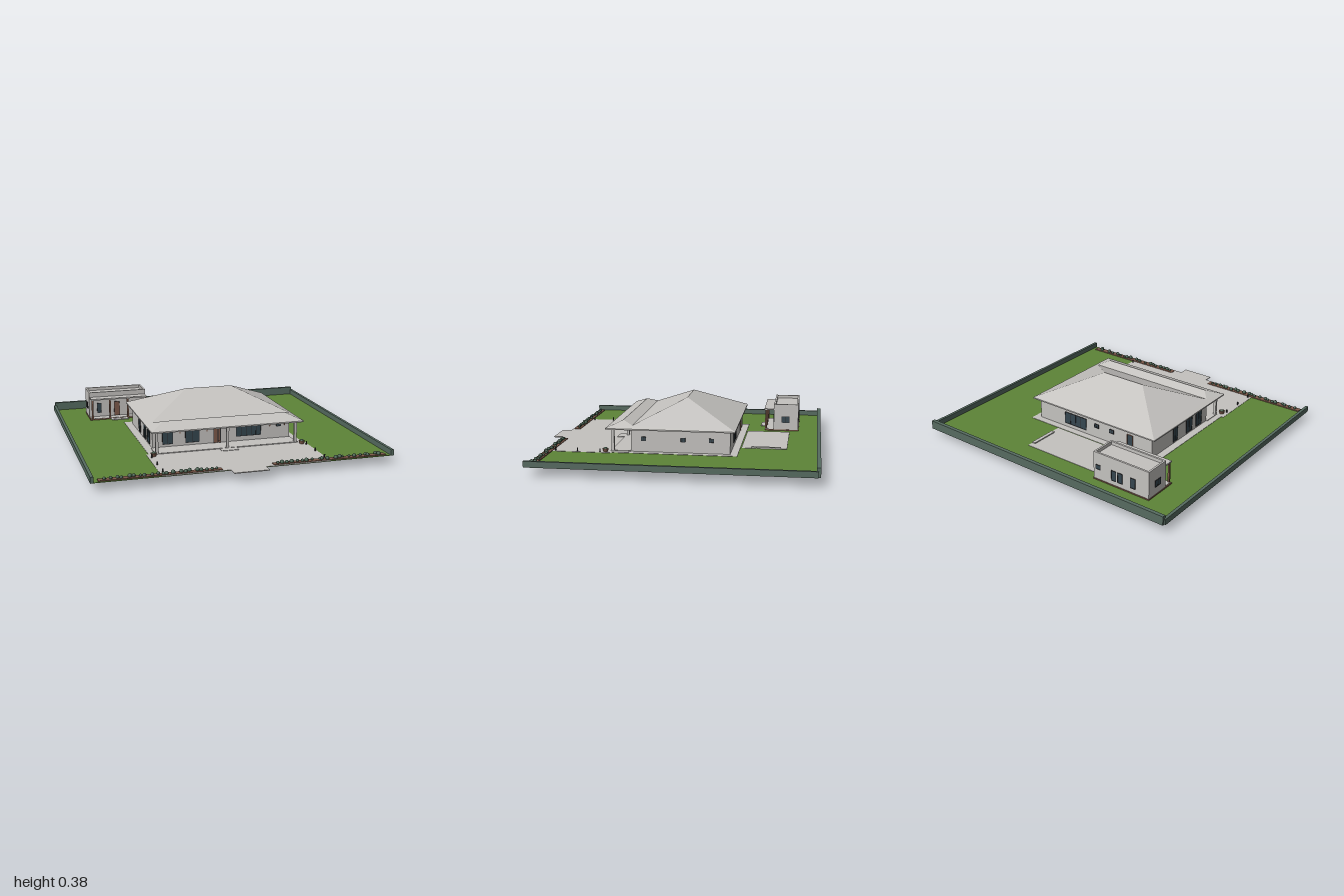
import * as THREE from 'three';

const mat = (name, color, extra = {}) => {
  const m = new THREE.MeshStandardMaterial({ color, ...extra });
  m.name = name;
  return m;
};

export function createModel() {
  const root = new THREE.Group();
  root.name = 'houseAndGarden';
  const plaster = mat('plaster', 0xc4c2bf);
  const grass = mat('grass', 0x5d8437);
  const hedge = mat('boundaryGreen', 0x566b60);
  const glass = mat('glass', 0x35464f);
  const brown = mat('woodBrown', 0x7d5a4a);
  const leaf = mat('leaf', 0x3f5a48);
  const dark = mat('darkMetal', 0x2c2c2e);

  const add = (name, geo, material, parent = root) => {
    const m = new THREE.Mesh(geo, material);
    m.name = name;
    parent.add(m);
    return m;
  };
  // Box given by its limits on each axis
  const box = (name, [x0, x1], [y0, y1], [z0, z1], material, parent) => {
    const m = add(name, new THREE.BoxGeometry(x1 - x0, y1 - y0, z1 - z0), material, parent);
    m.position.set((x0 + x1) / 2, (y0 + y1) / 2, (z0 + z1) / 2);
    return m;
  };
  const group = (name) => {
    const g = new THREE.Group();
    g.name = name;
    root.add(g);
    return g;
  };
  const G = 0.06; // ground level

  // Lawn, paving and boundary walls
  box('lawn', [-0.99, 0.99], [0.0575, G], [-0.94, 0.88], grass);
  box('housePaving', [-0.543, 0.537], [0.0565, 0.0625], [-0.415, 0.425], plaster);
  box('lawnUnderHouse', [-0.49, 0.49], [0.0555, 0.0575], [-0.35, 0.3], grass);
  box('driveway', [-0.56, 0.553], [0.0565, 0.062], [0.42, 0.88], plaster);
  box('drivewayEntry', [-0.12, 0.113], [0.0565, 0.062], [0.88, 0.945], plaster);
  for (const s of [-1, 1])
    box('sideWall', s < 0 ? [-1, -0.98] : [0.98, 1], [0.057, 0.097], [-0.94, 0.88], hedge);
  box('backWall', [-0.99, 0.99], [0.057, 0.118], [-0.955, -0.93], hedge);

  // Rear terrace with the sunken basin below it
  box('rearTerrace', [-0.285, 0.283], [0.0565, 0.0625], [-0.73, -0.422], plaster);
  box('basin', [-0.23, 0.225], [0, 0.0575], [-0.67, -0.475], plaster);
  box('terraceBench', [0.257, 0.282], [0.06, 0.07], [-0.69, -0.49], plaster);

  // Window or door: a glass plate with thin mullions, on a wall facing z or x
  const pane = (parent, axis, dir, at, [a, b], [y0, y1], panels = 1, frame = dark, fill = glass) => {
    const plate = (name, [u0, u1], ys, depth, m) => {
      const d = dir > 0 ? [at - 0.001, at + depth] : [at - depth, at + 0.001];
      if (axis === 'z') box(name, [u0, u1], ys, d, m, parent);
      else box(name, d, ys, [u0, u1], m, parent);
    };
    const t = 0.0015;
    plate('windowPane', [a, b], [y0, y1], 0.002, fill);
    for (let i = 0; i <= panels; i++) {
      const u = a + ((b - a) * i) / panels;
      plate('windowMullion', [u - t, u + t], [y0, y1], 0.004, frame);
    }
    for (const y of [y0, y1]) plate('windowRail', [a, b], [y - t, y + t], 0.004, frame);
  };

  // Main house body
  const house = group('mainHouse');
  box('houseWalls', [-0.49, 0.49], [G, 0.219], [-0.365, 0.3], plaster, house);
  box('porchFloor', [-0.5, 0.495], [G, 0.067], [0.3, 0.435], plaster, house);
  box('porchStep', [-0.06, 0.06], [G, 0.065], [0.435, 0.49], plaster, house);
  for (const x of [-0.488, 0, 0.486])
    box('porchColumn', [x - 0.009, x + 0.009], [G, 0.217], [0.413, 0.431], plaster, house);

  // Front openings
  pane(house, 'z', 1, 0.3, [-0.42, -0.35], [0.085, 0.182], 2);
  pane(house, 'z', 1, 0.3, [-0.26, -0.165], [0.085, 0.182], 2);
  pane(house, 'z', 1, 0.3, [0.1, 0.28], [0.1, 0.177], 5);
  pane(house, 'z', 1, 0.3, [0.395, 0.427], [0.15, 0.166], 2);
  pane(house, 'z', 1, 0.3, [-0.06, -0.012], [0.067, 0.19], 2, dark, brown);
  pane(house, 'z', 1, 0.3, [-0.025, -0.014], [0.08, 0.185], 1);
  for (const x of [-0.3, -0.11, 0.04, 0.345, 0.455])
    box('wallLamp', [x - 0.003, x + 0.003], [0.154, 0.166], [0.3, 0.306], brown, house);
  // Left side windows
  for (const z of [0.215, -0.05, -0.24])
    pane(house, 'x', 1, 0.49, [z - 0.015, z + 0.015], [0.137, 0.163], 2);
  // Right side glass doors
  for (const [a, b] of [[-0.12, -0.07], [0.04, 0.11], [0.16, 0.23]])
    pane(house, 'x', -1, -0.49, [a, b], [0.075, 0.178], 2);
  // Rear openings
  pane(house, 'z', -1, -0.365, [0.07, 0.26], [0.09, 0.175], 4);
  pane(house, 'z', -1, -0.365, [-0.04, -0.005], [0.137, 0.165], 2);
  pane(house, 'z', -1, -0.365, [-0.17, -0.135], [0.137, 0.165], 2);
  pane(house, 'z', -1, -0.365, [-0.33, -0.285], [0.065, 0.175], 1, brown);

  // Roof: hipped main part, valley and lower porch ridge, as flat polygons
  box('roofFascia', [-0.53, 0.527], [0.212, 0.221], [-0.4, 0.467], plaster, house);
  const e = 0.53, eave = 0.221;
  const section = [ // z, half-width, height from back eave to front eave
    [-0.4, e, eave], [-0.035, 0.167, 0.382], [0.29, 0.492, 0.238], [0.362, 0.428, 0.264], [0.467, e, eave],
  ];
  const pos = [];
  const tri = (...p) => p.forEach((v) => pos.push(...v));
  const L = section.map(([z, w, y]) => [w, y, z]);
  const R = section.map(([z, w, y]) => [-w, y, z]);
  for (let i = 0; i < 4; i++) tri(R[i], R[i + 1], L[i + 1], R[i], L[i + 1], L[i]);
  for (const [a, b, c] of [[0, 1, 2], [0, 2, 4], [2, 3, 4]]) {
    tri(L[a], L[b], L[c]);
    tri(R[a], R[c], R[b]);
  }
  const roofGeo = new THREE.BufferGeometry();
  roofGeo.setAttribute('position', new THREE.Float32BufferAttribute(pos, 3));
  roofGeo.computeVertexNormals();
  add('hippedRoof', roofGeo, plaster, house);

  // Guest house with parapet, canopy and brown posts
  const guest = group('guestHouse');
  const gx = [-0.77, -0.34];
  box('guestPlinth', [-0.773, -0.337], [G, 0.068], [-0.793, -0.545], brown, guest);
  box('guestFloor', [-0.765, -0.345], [G, 0.07], [-0.61, -0.547], plaster, guest);
  box('guestWalls', gx, [G, 0.235], [-0.79, -0.61], plaster, guest);
  box('parapetFront', gx, [0.235, 0.258], [-0.623, -0.61], plaster, guest);
  box('parapetBack', gx, [0.235, 0.258], [-0.79, -0.777], plaster, guest);
  box('parapetRight', [-0.77, -0.757], [0.235, 0.258], [-0.777, -0.623], plaster, guest);
  box('parapetLeft', [-0.353, -0.34], [0.235, 0.258], [-0.777, -0.623], plaster, guest);
  box('guestCanopy', [-0.765, -0.343], [0.212, 0.222], [-0.61, -0.54], plaster, guest);
  box('guestStep', [-0.618, -0.49], [G, 0.066], [-0.545, -0.507], plaster, guest);
  for (const x of [-0.755, -0.623, -0.487, -0.353])
    box('canopyPost', [x - 0.006, x + 0.006], [G, 0.212], [-0.558, -0.546], brown, guest);
  pane(guest, 'z', 1, -0.61, [-0.71, -0.68], [0.1, 0.172], 1);
  pane(guest, 'z', 1, -0.61, [-0.58, -0.54], [0.07, 0.178], 1, dark, brown);
  pane(guest, 'z', 1, -0.61, [-0.43, -0.4], [0.1, 0.172], 1);
  pane(guest, 'x', 1, -0.34, [-0.725, -0.67], [0.122, 0.167], 2);
  pane(guest, 'x', -1, -0.77, [-0.725, -0.67], [0.122, 0.167], 2);
  pane(guest, 'z', -1, -0.79, [-0.395, -0.36], [0.14, 0.17], 1);
  for (const x of [-0.5, -0.55, -0.65])
    pane(guest, 'z', -1, -0.79, [x - 0.018, x + 0.018], [0.1, 0.17], 1);

  // Flower beds with shrubs along the front edge
  const garden = group('frontPlanting');
  let seed = 7;
  const rnd = () => (seed = (seed * 16807) % 2147483647) / 2147483647;
  const shrub = new THREE.IcosahedronGeometry(1, 1);
  for (const s of [-1, 1]) {
    box('flowerBed', s < 0 ? [-0.95, -0.17] : [0.17, 0.95], [0.057, 0.066], [0.825, 0.868], brown, garden);
    for (let i = 0; i < 21; i++) {
      const r = 0.009 + rnd() * 0.006;
      const m = add('shrub', shrub, leaf, garden);
      m.position.set(s * (0.19 + i * 0.036 + (rnd() - 0.5) * 0.03), 0.066 + r * 0.5, 0.846 + (rnd() - 0.5) * 0.02);
      m.scale.setScalar(r);
    }
    // Potted plant by the porch corner
    const pot = add('plantPot', new THREE.CylinderGeometry(0.021, 0.015, 0.022, 16), brown, garden);
    pot.position.set(s * 0.519, 0.072, 0.467);
    const plant = add('pottedPlant', shrub, leaf, garden);
    plant.position.set(s * 0.519, 0.082, 0.467);
    plant.scale.set(0.015, 0.01, 0.015);
    // Driveway lights
    for (const z of [0.5, 0.655, 0.805])
      box('drivewayLight', [s * 0.54 - 0.004, s * 0.54 + 0.004], [G, 0.085], [z - 0.003, z + 0.003], dark, garden);
  }
  return root;
}
